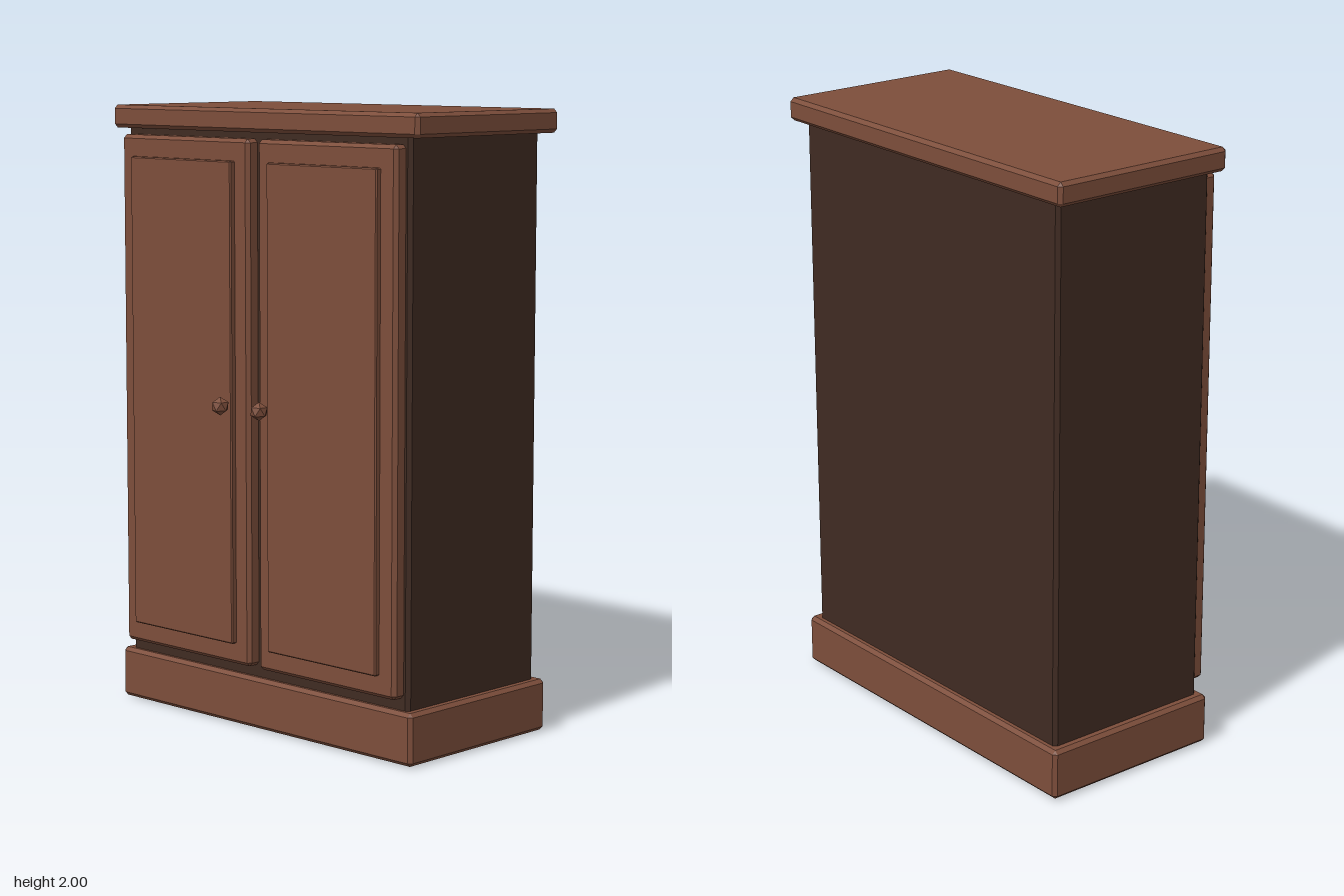
import * as THREE from 'three';
import { ConvexGeometry } from 'three/addons/geometries/ConvexGeometry.js';

// Box with every edge chamfered by b, given its min and max corners
function chamferBox(min, max, b) {
  const points = [];
  const c = min.map((v, i) => (v + max[i]) / 2);
  const h = max.map((v, i) => (v - min[i]) / 2);
  for (const sx of [-1, 1]) for (const sy of [-1, 1]) for (const sz of [-1, 1]) {
    const s = [sx, sy, sz];
    // Three points per corner, each staying full size along one axis
    for (let axis = 0; axis < 3; axis++) {
      points.push(new THREE.Vector3(...s.map((k, i) => c[i] + k * (h[i] - (i === axis ? 0 : b)))));
    }
  }
  return new ConvexGeometry(points);
}

export function createModel() {
  const group = new THREE.Group();
  group.name = 'wardrobe';

  const wood = new THREE.MeshStandardMaterial({ color: 0x7d4e3b, flatShading: true });
  wood.name = 'reddish brown wood';
  const darkWood = new THREE.MeshStandardMaterial({ color: 0x402b22, flatShading: true });
  darkWood.name = 'dark brown wood';

  const add = (name, geometry, material) => {
    const mesh = new THREE.Mesh(geometry, material);
    mesh.name = name;
    group.add(mesh);
    return mesh;
  };

  // Carcass, plinth and overhanging top
  add('carcass', chamferBox([-0.63, 0, -0.35], [0.63, 1.94, 0.25], 0.012), darkWood);
  add('plinth', chamferBox([-0.66, 0.004, -0.375], [0.66, 0.172, 0.272], 0.012), wood);
  add('top', chamferBox([-0.68, 1.925, -0.385], [0.68, 2, 0.275], 0.012), wood);

  // Pair of doors with raised panels and faceted knobs
  for (const [side, s] of [['left', 1], ['right', -1]]) {
    const span = (a, b) => (s > 0 ? [a, b] : [-b, -a]);
    const [d0, d1] = span(0.02, 0.613);
    const [p0, p1] = span(0.08, 0.55);
    add(side + 'Door', chamferBox([d0, 0.21, 0.24], [d1, 1.905, 0.295], 0.012), wood);
    add(side + 'DoorPanel', chamferBox([p0, 0.28, 0.285], [p1, 1.835, 0.314], 0.004), wood);

    // Tilted so that one vertex points straight up
    const knobShape = new THREE.IcosahedronGeometry(0.03, 0);
    knobShape.rotateZ(Math.atan(2 / (1 + Math.sqrt(5))));
    add(side + 'Knob', knobShape, wood).position.set(s * 0.088, 1.06, 0.355);
  }

  return group;
}
